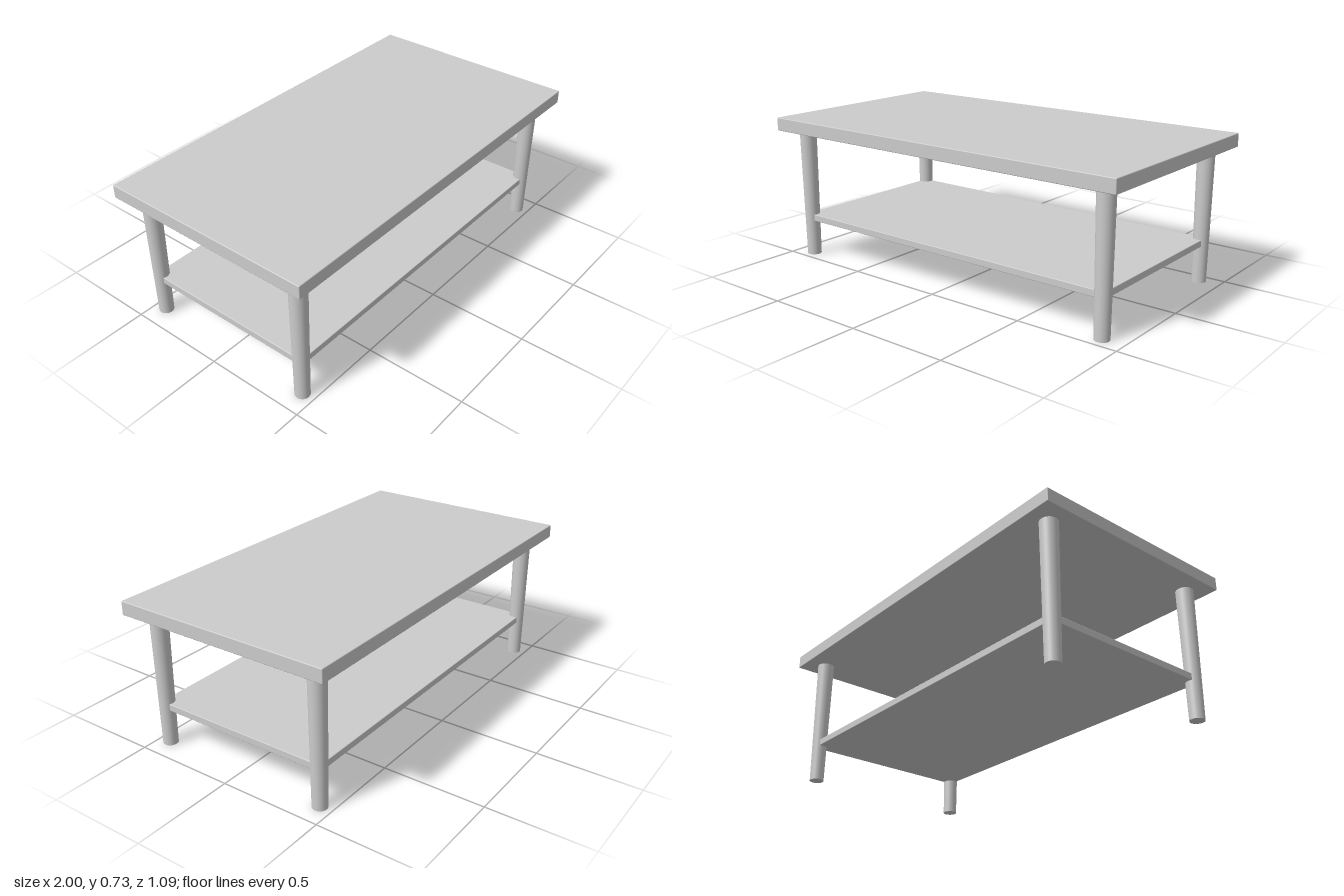
import * as THREE from 'three';
import { RoundedBoxGeometry } from 'three/addons/geometries/RoundedBoxGeometry.js';

export function createModel() {
  const table = new THREE.Group();
  table.name = 'coffeeTable';
  const lightGrey = new THREE.MeshStandardMaterial({ name: 'lightGrey', color: 0xcccccc });

  function add(name, geometry, x, y, z) {
    const mesh = new THREE.Mesh(geometry, lightGrey);
    mesh.name = name;
    mesh.position.set(x, y, z);
    table.add(mesh);
  }

  // Slabs with slightly eased edges
  const topBottom = 0.66, topHeight = 0.067;
  add('tableTop', new RoundedBoxGeometry(2, topHeight, 1.09, 2, 0.004), 0, topBottom + topHeight / 2, 0);
  add('lowerShelf', new RoundedBoxGeometry(1.82, 0.034, 0.91, 2, 0.003), 0, 0.201, 0);

  // Round legs, tapering towards the floor
  const leg = new THREE.CylinderGeometry(0.0425, 0.0355, topBottom, 32);
  for (const [side, sx] of [['Left', 1], ['Right', -1]]) {
    for (const [end, sz] of [['front', 1], ['back', -1]]) {
      add(`${end}${side}Leg`, leg, sx * 0.8925, topBottom / 2, sz * 0.4375);
    }
  }
  return table;
}
